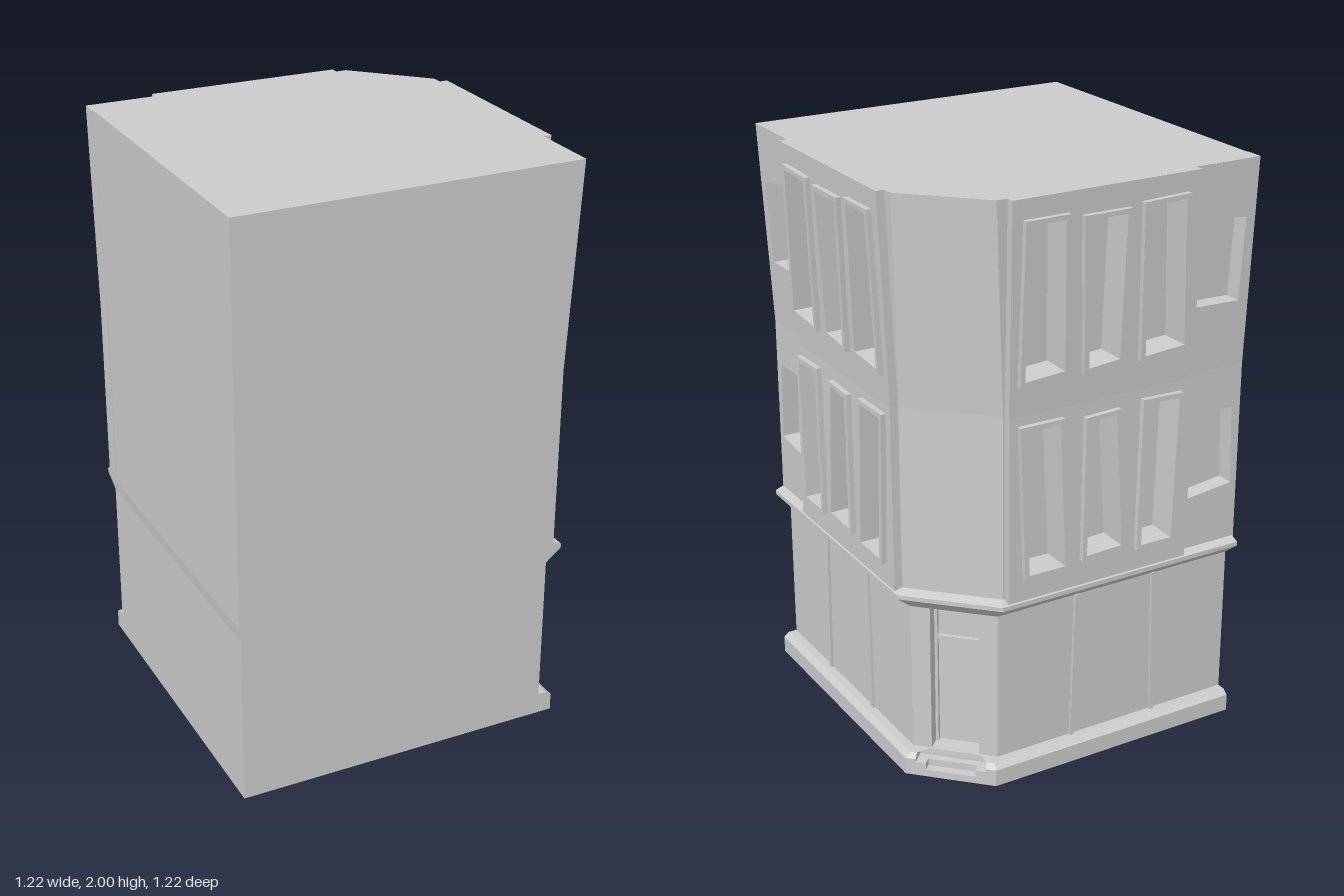
import * as THREE from 'three';

const material = new THREE.MeshStandardMaterial({ color: 0xcccccc, flatShading: true });
const shellMaterial = new THREE.MeshStandardMaterial({ color: 0xcccccc, flatShading: true, side: THREE.DoubleSide });

// Facade surface: vertical lower storey, upper storey leaning outwards.
const SPLIT = 1.3;
const FRONT = 0.614;
const GLASS = -0.06;
const wallX = (y) => 0.53 + Math.max(0, y - SPLIT) * 0.053;

function addMesh(parent, name, geometry, mat = material) {
  const mesh = new THREE.Mesh(geometry, mat);
  mesh.name = name;
  parent.add(mesh);
}

// Level outline [x, y, z]: square with a cut corner on the line x - z = s,
// and a notch (half width, depth) in the middle of the cut.
function outline([y, X, s, left, half = 0, depth = 0]) {
  const pts = [[left, y, FRONT], [X, y, FRONT], [X, y, X - s]];
  if (half) {
    const m = s / 2, w = half * Math.SQRT1_2, d = depth * Math.SQRT1_2;
    pts.push([m + w, y, w - m], [m + w - d, y, w - m + d], [m - w - d, y, d - m - w], [m - w, y, -m - w]);
  }
  pts.push([s - X, y, -X], [left, y, -X]);
  return pts;
}

// Open-bottomed shell through a stack of levels, optionally closed by a roof.
function shell(levels, roof = false) {
  const rings = levels.map(outline);
  const pos = [];
  const tri = (...p) => p.forEach((v) => pos.push(...v));
  for (let r = 0; r < rings.length - 1; r++) {
    const a = rings[r], b = rings[r + 1];
    a.forEach((p, i) => {
      const j = (i + 1) % a.length;
      tri(p, a[j], b[j]);
      tri(p, b[j], b[i]);
    });
  }
  if (roof) {
    const top = rings[rings.length - 1];
    const flat = top.map(([x, , z]) => new THREE.Vector2(x, -z));
    for (const t of THREE.ShapeUtils.triangulateShape(flat, [])) tri(...t.map((i) => top[i]));
  }
  const g = new THREE.BufferGeometry();
  g.setAttribute('position', new THREE.Float32BufferAttribute(pos, 3));
  g.computeVertexNormals();
  return g;
}

const toPoints = (quad) => quad.map(([u, y]) => new THREE.Vector2(u, y));

// Slab on a facade: drawn in (u, y), u running towards the cut corner,
// d0..d1 is its depth range relative to the wall surface.
function slab(quad, holes, d0, d1, back, { base = wallX, miterFrom = Infinity } = {}) {
  // Outline runs counter-clockwise, holes clockwise
  const shape = new THREE.Shape(toPoints(quad).reverse());
  holes.forEach((h) => shape.holes.push(new THREE.Path(toPoints(h))));
  const src = new THREE.ExtrudeGeometry(shape, { depth: d1 - d0, bevelEnabled: false });
  const p = src.attributes.position, pos = [];
  for (let t = 0; t < p.count; t += 3) {
    for (const i of back ? [t, t + 2, t + 1] : [t, t + 1, t + 2]) {
      const y = p.getY(i), d = p.getZ(i) + d0, out = base(y) + d;
      let u = p.getX(i);
      if (u > miterFrom) u -= d;
      if (back) pos.push(u, y, -out);
      else pos.push(out, y, -u);
    }
  }
  const g = new THREE.BufferGeometry();
  g.setAttribute('position', new THREE.Float32BufferAttribute(pos, 3));
  g.computeVertexNormals();
  return g;
}

// Corners run top-left, top-right, bottom-right, bottom-left.
const inset = (q, t) => q.map(([u, y], i) => [u + (i % 3 === 0 ? t : -t), y + (i < 2 ? -t : t)]);
const quad = (y0, y1, l0, r0, l1 = l0, r1 = r0) => [[l1, y1], [r1, y1], [r0, y0], [l0, y0]];

// Crooked windows, storey by storey.
const storeys = [
  {
    panel: quad(0.665, SPLIT, -FRONT, -0.39, -FRONT, -0.38),
    bay: quad(0.665, SPLIT, -0.39, 0.29, -0.38, 0.29),
    strip: quad(0.665, SPLIT, 0.28, 0.295),
    small: [[-0.58, 1.15], [-0.43, 1.15], [-0.415, 0.855], [-0.59, 0.875]],
    windows: [
      [[-0.35, 1.265], [-0.195, 1.27], [-0.185, 0.742], [-0.335, 0.742]],
      [[-0.11, 1.258], [0.02, 1.253], [0.025, 0.757], [-0.14, 0.762]],
      [[0.1, 1.27], [0.26, 1.27], [0.24, 0.742], [0.075, 0.742]],
    ],
  },
  {
    panel: quad(SPLIT, 2, -FRONT, -0.38, -FRONT, -0.37),
    bay: quad(SPLIT, 2, -0.38, 0.29, -0.37, 0.303),
    strip: quad(SPLIT, 2, 0.28, 0.295, 0.28, 0.34),
    small: [[-0.58, 1.805], [-0.42, 1.83], [-0.41, 1.53], [-0.575, 1.525]],
    windows: [
      [[-0.325, 1.935], [-0.155, 1.93], [-0.175, 1.405], [-0.355, 1.415]],
      [[-0.11, 1.92], [0.06, 1.92], [0.035, 1.405], [-0.11, 1.415]],
      [[0.11, 1.935], [0.265, 1.935], [0.265, 1.405], [0.09, 1.415]],
    ],
  },
];

function facade(name, back) {
  const g = new THREE.Group();
  g.name = name;
  for (const s of storeys) {
    addMesh(g, 'sideWall', slab(s.panel, [s.small], GLASS, 0, back));
    addMesh(g, 'bayWall', slab(s.bay, s.windows.map((w) => inset(w, 0.016)), GLASS, 0.028, back));
    addMesh(g, 'cornerStrip', slab(s.strip, [], GLASS, 0, back, { miterFrom: 0.29 }));
    for (const w of s.windows) {
      addMesh(g, 'windowFrame', slab(w, [inset(w, 0.016)], 0.028, 0.046, back));
    }
  }
  // Shop front mullions
  const base = () => 0.505;
  for (const [lo, hi] of [[-0.31, -0.3], [0.015, 0.003]]) {
    const w = 0.007;
    addMesh(g, 'shopMullion', slab(quad(0.07, 0.605, lo - w, lo + w, hi - w, hi + w), [], -0.005, 0.01, back, { base }));
  }
  return g;
}

// Doorway trim at the cut corner, built facing +z and turned to face the corner.
function cornerDoor() {
  const g = new THREE.Group();
  g.name = 'cornerDoor';
  const bar = (name, w, h, x, y) => {
    const b = new THREE.BoxGeometry(w, h, 0.016);
    b.translate(x, y, 0);
    addMesh(g, name, b);
  };
  for (const x of [-0.076, 0.076]) bar('doorJamb', 0.01, 0.525, x, 0.3375);
  bar('doorTransom', 0.142, 0.012, 0, 0.47);
  g.rotation.y = Math.PI * 0.75;
  g.position.set(0.362, 0, -0.362);
  return g;
}

export function createModel() {
  const model = new THREE.Group();
  model.name = 'cornerBuilding';
  const L = -0.605, U = -0.61;

  // Plinth with entrance steps cut into the corner
  addMesh(model, 'plinth', shell([
    [0, 0.555, 0.89, L, 0.085, 0],
    [0.025, 0.555, 0.89, L, 0.085, 0],
    [0.025, 0.555, 0.89, L, 0.085, 0.03],
    [0.05, 0.555, 0.89, L, 0.085, 0.03],
    [0.05, 0.555, 0.89, L, 0.12, 0.055],
    [0.06, 0.555, 0.89, L, 0.12, 0.055],
    [0.075, 0.535, 0.865, L, 0.12, 0.038],
    [0.075, 0.505, 0.805, L, 0.081, 0.064],
  ]), shellMaterial);

  // Ground floor with door recess and its soffit
  addMesh(model, 'groundFloor', shell([
    [0.075, 0.505, 0.805, L, 0.081, 0.064],
    [0.6, 0.505, 0.805, L, 0.081, 0.064],
    [0.6, 0.505, 0.805, L, 0.081, 0],
  ]), shellMaterial);

  // Cornice between shop and upper storeys
  addMesh(model, 'cornice', shell([
    [0.6, 0.505, 0.805, L],
    [0.645, 0.56, 0.872, U],
    [0.66, 0.56, 0.872, U],
    [0.672, 0.53, 0.825, U],
  ]), shellMaterial);

  // Upper storeys: shell behind the windows, then both street facades
  addMesh(model, 'upperShell', shell([
    [0.665, 0.53 + GLASS, 0.825, U],
    [SPLIT, 0.53 + GLASS, 0.825, U],
    [2, wallX(2) + GLASS, 0.907, U],
  ], true), shellMaterial);
  model.add(facade('rightFacade', false), facade('backFacade', true), cornerDoor());
  return model;
}
